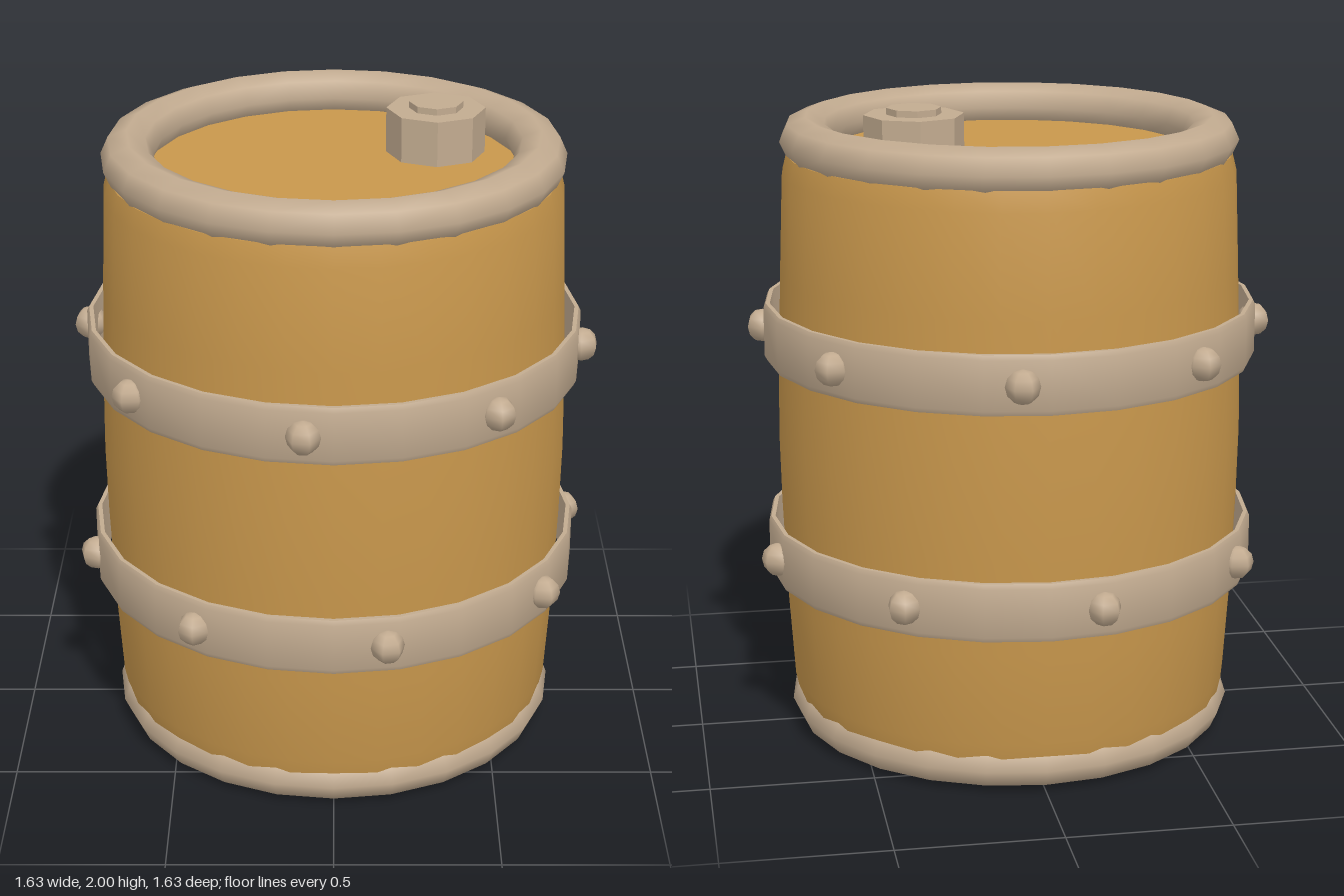
import * as THREE from 'three';
import { toCreasedNormals } from 'three/addons/utils/BufferGeometryUtils.js';

const SIDES = 24;

export function createModel() {
  const wood = new THREE.MeshStandardMaterial({ name: 'wood', color: 0xc8974c });
  const metal = new THREE.MeshStandardMaterial({ name: 'metal', color: 0xc2ab90 });
  const barrel = new THREE.Group();
  barrel.name = 'barrel';

  const add = (name, geometry, material, x = 0, y = 0, z = 0) => {
    const mesh = new THREE.Mesh(geometry, material);
    mesh.name = name;
    mesh.position.set(x, y, z);
    barrel.add(mesh);
    return mesh;
  };
  const lathe = (profile, sides = SIDES) => toCreasedNormals(
    new THREE.LatheGeometry(profile.map(([r, y]) => new THREE.Vector2(r, y)), sides), 0.6);

  // Bulging wooden body with closed bottom and sunken lid
  add('body', lathe([
    [0, 0.09], [0.68, 0.09], [0.695, 0.16], [0.713, 0.45], [0.724, 0.75], [0.728, 0.96],
    [0.724, 1.17], [0.713, 1.47], [0.7, 1.78], [0.685, 1.84], [0, 1.84],
  ], 32), wood);

  // Rounded rims at both ends
  for (const [name, y] of [['topRim', 1.882], ['bottomRim', 0.073]]) {
    const rim = new THREE.TorusGeometry(0.625, 0.08, 8, SIDES).rotateX(Math.PI / 2);
    rim.scale(1, 0.913, 1);
    add(name, rim, metal, 0, y, 0);
  }

  // Thin hoops standing slightly off the body, each with eight rivets
  const hoop = lathe([
    [0.747, -0.09], [0.76, -0.09], [0.767, -0.075], [0.767, 0.075],
    [0.76, 0.09], [0.747, 0.09], [0.747, -0.09],
  ]);
  const rivet = new THREE.SphereGeometry(0.052, 6, 6);
  const hoops = [['upper', 1.293, -6.5], ['lower', 0.604, 12]];
  for (const [name, y, startDeg] of hoops) {
    add(name + 'Hoop', hoop, metal, 0, y, 0);
    for (let i = 0; i < 8; i++) {
      const a = THREE.MathUtils.degToRad(startDeg + i * 45);
      const mesh = add(name + 'Rivet', rivet, metal, Math.sin(a) * 0.77, y, Math.cos(a) * 0.77);
      mesh.rotation.y = a;
    }
  }

  // Octagonal plug with a small raised button
  const flat = (r, h) => toCreasedNormals(new THREE.CylinderGeometry(r, r, h, 8), 0.5);
  add('plug', flat(0.152, 0.15), metal, 0.312, 1.905, -0.143);
  add('plugButton', flat(0.083, 0.03), metal, 0.312, 1.985, -0.143);

  return barrel;
}
